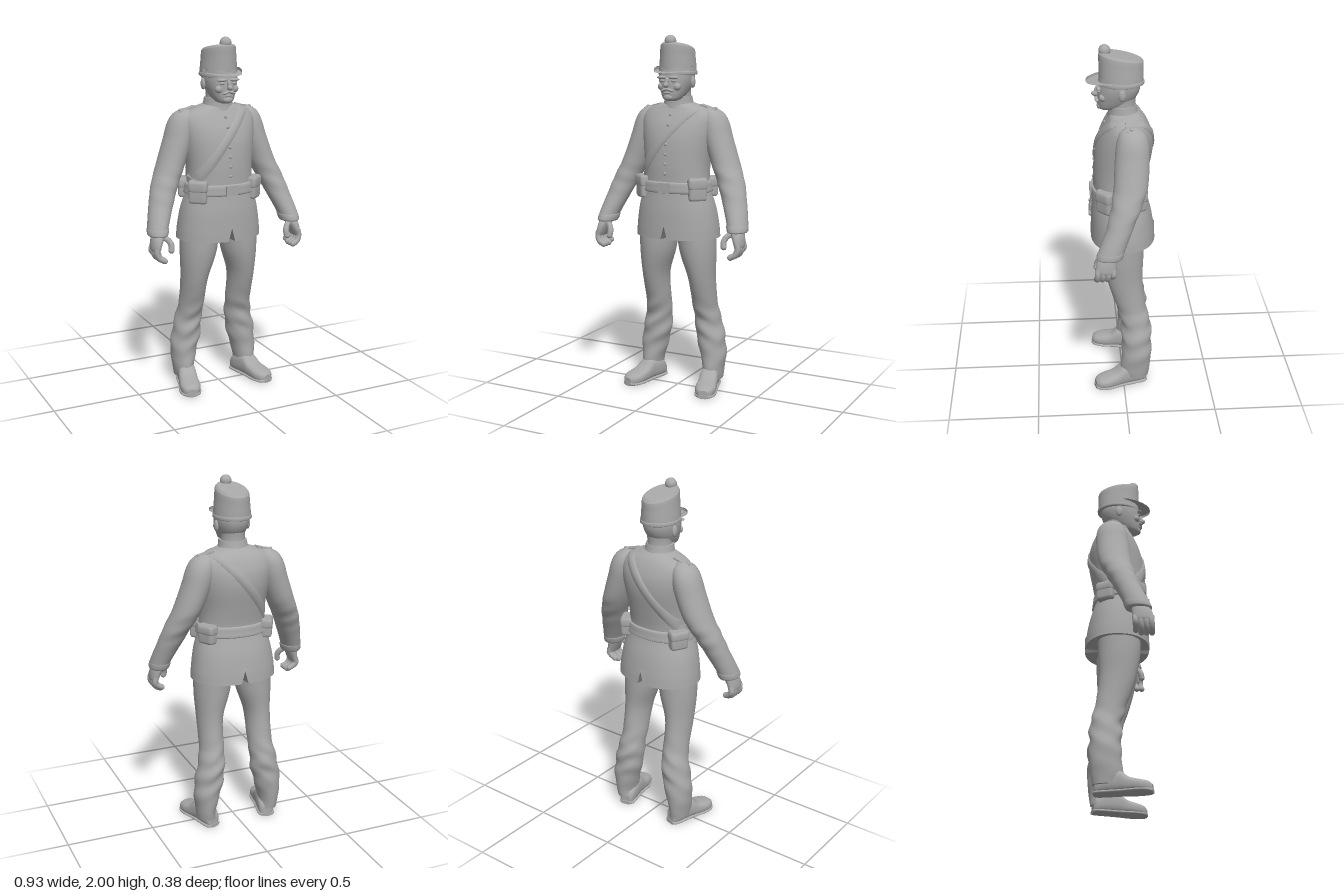
import * as THREE from 'three';

const grey = new THREE.MeshStandardMaterial({ color: 0xa8a8a8 });
grey.name = 'castGrey';

// Smooth interpolation of rings [y, cx, cz, rx, rz] at height y
function ringAt(rings, y) {
  let i = 0;
  while (i < rings.length - 2 && y > rings[i + 1][0]) i++;
  const a = rings[i], b = rings[i + 1], p = rings[i - 1] || a, q = rings[i + 2] || b;
  const h = b[0] - a[0], t = Math.min(1, Math.max(0, (y - a[0]) / h)), t2 = t * t, t3 = t2 * t;
  return [1, 2, 3, 4].map((k) => {
    const ma = (b[k] - p[k]) / (b[0] - p[0]) * h, mb = (q[k] - a[k]) / (q[0] - a[0]) * h;
    return (2 * t3 - 3 * t2 + 1) * a[k] + (t3 - 2 * t2 + t) * ma + (3 * t2 - 2 * t3) * b[k] + (t3 - t2) * mb;
  });
}

// Closed skin through the rings; pow 2 is an ellipse, higher is boxier
function loft(rings, { seg = 36, sub = 6, pow = 2, rule } = {}) {
  const pos = [], idx = [], ys = [];
  for (let i = 0; i < rings.length - 1; i++)
    for (let k = 0; k < sub; k++) ys.push(rings[i][0] + (rings[i + 1][0] - rings[i][0]) * k / sub);
  ys.push(rings[rings.length - 1][0]);
  const v = new THREE.Vector3();
  const addRing = (y) => {
    const [cx, cz, rx, rz] = ringAt(rings, y);
    for (let j = 0; j < seg; j++) {
      const a = j / seg * Math.PI * 2, c = Math.cos(a), s = Math.sin(a);
      v.set(cx + rx * Math.sign(c) * Math.abs(c) ** (2 / pow), y, cz + rz * Math.sign(s) * Math.abs(s) ** (2 / pow));
      if (rule) rule(v, a);
      pos.push(v.x, v.y, v.z);
    }
    return [cx, cz];
  };
  ys.forEach(addRing);
  for (let i = 0; i < ys.length - 1; i++)
    for (let j = 0; j < seg; j++) {
      const a = i * seg + j, b = i * seg + (j + 1) % seg;
      idx.push(a, a + seg, b, b, a + seg, b + seg);
    }
  for (const [y, top] of [[ys[0], false], [ys[ys.length - 1], true]]) {
    const base = pos.length / 3, [cx, cz] = addRing(y);
    v.set(cx, y, cz);
    if (rule) rule(v, 0);
    pos.push(v.x, v.y, v.z);
    for (let j = 0; j < seg; j++) {
      const a = base + j, b = base + (j + 1) % seg;
      if (top) idx.push(base + seg, b, a); else idx.push(base + seg, a, b);
    }
  }
  const g = new THREE.BufferGeometry();
  g.setAttribute('position', new THREE.Float32BufferAttribute(pos, 3));
  g.setIndex(idx);
  g.computeVertexNormals();
  return g;
}

// Ring from a half width plus front and back depth
const fb = (y, rx, f, b) => [y, 0, (f + b) / 2, rx, (f - b) / 2];

const TORSO = [fb(0.885, 0.243, 0.175, -0.186), fb(0.95, 0.238, 0.174, -0.18), fb(1.05, 0.222, 0.17, -0.163),
  fb(1.15, 0.195, 0.16, -0.135), fb(1.2, 0.188, 0.158, -0.13), fb(1.3, 0.188, 0.157, -0.146),
  fb(1.42, 0.204, 0.146, -0.168), fb(1.5, 0.215, 0.125, -0.166), fb(1.56, 0.213, 0.097, -0.146),
  fb(1.6, 0.175, 0.076, -0.122), fb(1.622, 0.11, 0.066, -0.1), fb(1.635, 0.07, 0.05, -0.08)];
const TP = 2.2;

// Depth of the jacket surface at x, y on the front (+1) or back (-1)
function jacketZ(x, y, side) {
  const [, cz, rx, rz] = ringAt(TORSO, Math.min(y, 1.63));
  return cz + side * rz * Math.max(0, 1 - Math.min(1, Math.abs(x) / rx) ** TP) ** (1 / TP);
}

export function createModel() {
  const root = new THREE.Group();
  root.name = 'soldierFigure';
  const add = (name, geo, p = [0, 0, 0], parent = root) => {
    const m = new THREE.Mesh(geo, grey);
    m.name = name;
    m.position.set(...p);
    parent.add(m);
    return m;
  };
  const blob = (name, p, s) => {
    const m = add(name, new THREE.SphereGeometry(1, 20, 14), p);
    m.scale.set(...s);
    return m;
  };

  // Jacket, with notches in the hem at front and back
  add('jacket', loft(TORSO, { seg: 96, pow: TP, rule: (v) => {
    if (v.y < 0.97) v.y += 0.075 * Math.exp(-((v.x / 0.009) ** 2)) * (0.97 - v.y) / 0.085 * (Math.abs(v.z) > 0.1 ? 1 : 0);
  } }));
  add('collar', loft([[1.6, 0, -0.012, 0.092, 0.088], [1.63, 0, -0.008, 0.083, 0.08], [1.668, 0, -0.004, 0.077, 0.074]], { sub: 4 }));

  // Belt follows the waist
  const belt = [1.142, 1.148, 1.17, 1.198, 1.204].map((y, i) => {
    const r = ringAt(TORSO, y), o = i % 4 ? 0.012 : 0.003;
    return [y, r[0], r[1], r[2] + o, r[3] + o];
  });
  add('belt', loft(belt, { seg: 72, sub: 2, pow: TP }));
  add('buckle', new THREE.BoxGeometry(0.07, 0.055, 0.016), [0, 1.173, 0.171]);
  for (let i = 0; i < 7; i++) {
    const y = 1.25 + i * 0.053;
    blob('button', [0, y, jacketZ(0, y, 1)], [0.009, 0.009, 0.007]);
  }

  // Shoulder strap crosses from the left shoulder to the right hip on both sides
  for (const side of [1, -1]) {
    const pos = [], idx = [], n = 40, w = [-0.025, -0.023, 0, 0.023, 0.025];
    for (let i = 0; i <= n; i++) {
      const t = i / n, cx = 0.135 - 0.312 * t, cy = 1.612 - 0.385 * t + 0.02 * Math.sin(t * Math.PI);
      w.forEach((o, k) => {
        const x = cx - o * 0.77, y = cy + o * 0.64;
        pos.push(x, y, jacketZ(x, y, side) + side * (k % 4 ? 0.008 : -0.006));
      });
    }
    for (let i = 0; i < n; i++)
      for (let k = 0; k < 4; k++) {
        const a = i * 5 + k, b = a + 5;
        if (side > 0) idx.push(a, a + 1, b, b, a + 1, b + 1); else idx.push(a, b, a + 1, b, b + 1, a + 1);
      }
    const g = new THREE.BufferGeometry();
    g.setAttribute('position', new THREE.Float32BufferAttribute(pos, 3));
    // Keep the faces pointing away from the body
    g.setIndex(side > 0 ? idx.reverse() : idx.reverse());
    g.computeVertexNormals();
    if (g.attributes.normal.getZ(2 + 5 * 20) * side < 0) {
      g.setIndex(idx.slice().reverse());
      g.computeVertexNormals();
    }
    add(side > 0 ? 'strapFront' : 'strapBack', g);
  }

  // Rounded pouch with a flap, facing outward
  const pouch = (x, z, yaw, w, h) => {
    const grp = new THREE.Group();
    grp.name = 'pouch';
    const slab = (dw, h0, h1, d) => loft([[h0, 0, 0, dw * 0.9, d * 0.8], [h0 + 0.012, 0, 0, dw, d],
      [h1 - 0.012, 0, 0, dw, d], [h1, 0, 0, dw * 0.9, d * 0.8]], { pow: 5, sub: 3, seg: 40 });
    add('pouchBody', slab(w / 2, -h / 2, h / 2, 0.03), [0, 0, 0], grp);
    add('pouchFlap', slab(w / 2 + 0.004, 0, h / 2 + 0.004, 0.034), [0, 0, 0], grp);
    grp.position.set(x, 1.165, z);
    grp.rotation.y = yaw;
    root.add(grp);
  };

  for (const s of [1, -1]) {
    const side = s > 0 ? 'left' : 'right';
    const flip = (rings) => rings.map(([y, cx, ...r]) => [y, cx * s, ...r]);
    pouch(s * 0.168, 0.098, s * 0.72, 0.1, 0.12);
    pouch(s * 0.178, -0.075, s * 2.05, 0.1, 0.1);

    // Sleeve with soft folds at the elbow
    add(side + 'Sleeve', loft(flip([[0.955, 0.407, 0.09, 0.048, 0.064], [0.965, 0.408, 0.087, 0.053, 0.07],
      [1.0, 0.4, 0.075, 0.057, 0.07], [1.1, 0.365, 0.034, 0.067, 0.071], [1.2, 0.327, -0.002, 0.075, 0.08],
      [1.3, 0.281, -0.03, 0.078, 0.091], [1.45, 0.226, -0.042, 0.08, 0.092], [1.53, 0.206, -0.045, 0.075, 0.085],
      [1.58, 0.192, -0.043, 0.058, 0.064], [1.607, 0.178, -0.04, 0.026, 0.028]]),
    { rule: (v) => { v.z += 0.003 * Math.sin(v.y * 70 + v.x * 25) * Math.exp(-(((v.y - 1.2) / 0.09) ** 2)); } }));
    add(side + 'Cuff', loft(flip([[0.95, 0.408, 0.09, 0.051, 0.067], [0.957, 0.408, 0.089, 0.056, 0.072],
      [0.985, 0.403, 0.08, 0.058, 0.072], [0.99, 0.402, 0.078, 0.054, 0.068]]), { sub: 3 }));

    // Shoulder tab and its button
    const tab = add(side + 'ShoulderTab', new THREE.BoxGeometry(0.1, 0.012, 0.045), [s * 0.175, 1.604, -0.035]);
    tab.rotation.z = -s * 0.28;
    blob(side + 'TabButton', [s * 0.212, 1.602, -0.038], [0.01, 0.008, 0.01]);

    // Hand with curled fingers
    add(side + 'Palm', loft(flip([[0.865, 0.434, 0.112, 0.016, 0.048], [0.885, 0.432, 0.112, 0.024, 0.054],
      [0.93, 0.42, 0.106, 0.032, 0.054], [0.975, 0.406, 0.093, 0.034, 0.044]])));
    const digit = (name, pts, r) => {
      const c = new THREE.CatmullRomCurve3(pts.map(([x, y, z]) => new THREE.Vector3(x * s, y, z)));
      add(name, new THREE.TubeGeometry(c, 14, r, 10));
      blob(name + 'Tip', c.getPoint(1).toArray(), [r, r, r]);
    };
    for (let i = 0; i < 4; i++) {
      const z = 0.07 + i * 0.028, d = i === 0 ? 0.014 : 0;
      digit(side + 'Finger', [[0.43, 0.9, z], [0.438, 0.865, z], [0.425, 0.835 + d, z + 0.003], [0.398, 0.82 + d, z + 0.005]], 0.0165);
    }
    digit(side + 'Thumb', [[0.4, 0.95, 0.115], [0.367, 0.927, 0.14], [0.355, 0.9, 0.153], [0.358, 0.874, 0.158]], 0.0165);

    // Trouser leg with folds around knee and shin
    add(side + 'TrouserLeg', loft(flip([[0.05, 0.193, -0.07, 0.053, 0.072], [0.1, 0.197, -0.066, 0.056, 0.084],
      [0.2, 0.19, -0.075, 0.074, 0.085], [0.3, 0.173, -0.074, 0.082, 0.085], [0.4, 0.159, -0.071, 0.075, 0.084],
      [0.48, 0.15, -0.05, 0.07, 0.083], [0.65, 0.146, -0.012, 0.074, 0.098], [0.8, 0.127, 0, 0.101, 0.115],
      [0.95, 0.115, 0, 0.112, 0.12]]), { sub: 8, rule: (v, a) => {
      v.z += 0.006 * Math.sin(v.y * 60 + v.x * s * 35) * Math.exp(-(((v.y - 0.36) / 0.13) ** 2)) * Math.sin(a);
      v.x += 0.004 * Math.sin(v.y * 50 + v.z * 20) * Math.exp(-(((v.y - 0.3) / 0.15) ** 2));
    } }));

    // Shoe lofted heel to toe, then laid flat and turned outward
    const shoe = new THREE.Group();
    shoe.name = side + 'Shoe';
    const along = (st, dw) => loft(st.map(([z, w, h]) => [z, 0, -h / 2, w + dw, h / 2]), { pow: 2.6 }).rotateX(Math.PI / 2);
    // The laying-flat turn sends length to z and height to y
    add('shoeUpper', along([[-0.132, 0.025, 0.06], [-0.12, 0.04, 0.085], [-0.07, 0.05, 0.12], [0, 0.052, 0.125],
      [0.05, 0.055, 0.088], [0.11, 0.058, 0.07], [0.15, 0.046, 0.06], [0.17, 0.026, 0.045]], 0), [0, 0.002, 0], shoe);
    add('shoeSole', along([[-0.136, 0.026, 0.022], [-0.12, 0.042, 0.022], [-0.05, 0.047, 0.022], [0.01, 0.048, 0.022],
      [0.1, 0.058, 0.022], [0.15, 0.047, 0.022], [0.173, 0.024, 0.022]], 0.004), [0, 0, 0], shoe);
    shoe.position.set(s * 0.2, 0, 0);
    shoe.rotation.y = s * 0.25;
    root.add(shoe);

    // Paired features of the face
    blob(side + 'Ear', [s * 0.092, 1.745, 0.002], [0.012, 0.032, 0.02]);
    blob(side + 'Brow', [s * 0.036, 1.772, 0.124], [0.03, 0.009, 0.014]);
    blob(side + 'Eye', [s * 0.034, 1.754, 0.121], [0.014, 0.008, 0.01]);
    blob(side + 'Cheek', [s * 0.045, 1.722, 0.104], [0.024, 0.022, 0.02]);
    blob(side + 'Moustache', [s * 0.018, 1.705, 0.133], [0.022, 0.008, 0.012]).rotation.z = -s * 0.3;
  }

  // Neck and head
  add('neck', loft([fb(1.6, 0.07, 0.055, -0.08), fb(1.68, 0.066, 0.06, -0.075), fb(1.74, 0.07, 0.06, -0.08)]));
  add('head', loft([fb(1.643, 0.022, 0.108, 0.05), fb(1.652, 0.044, 0.122, 0.01), fb(1.672, 0.06, 0.128, -0.03),
    fb(1.705, 0.075, 0.13, -0.07), fb(1.735, 0.085, 0.13, -0.09), fb(1.77, 0.091, 0.127, -0.1), fb(1.83, 0.09, 0.12, -0.1)], { pow: 2.2 }));
  blob('nose', [0, 1.732, 0.143], [0.014, 0.015, 0.019]);
  blob('noseBridge', [0, 1.75, 0.133], [0.01, 0.026, 0.014]).rotation.x = -0.25;
  blob('lowerLip', [0, 1.689, 0.13], [0.02, 0.006, 0.009]);
  blob('chin', [0, 1.664, 0.118], [0.028, 0.018, 0.016]);

  // Tall cap, its crown higher at the front
  const lean = (v) => { v.y += 0.2 * v.z * Math.max(0, (v.y - 1.79) / 0.15); };
  add('cap', loft([fb(1.785, 0.1, 0.122, -0.117), fb(1.82, 0.098, 0.122, -0.118), fb(1.88, 0.092, 0.122, -0.117),
    fb(1.928, 0.087, 0.122, -0.116), fb(1.938, 0.081, 0.116, -0.11)], { seg: 48, rule: lean }));
  add('capBand', loft([fb(1.784, 0.099, 0.121, -0.117), fb(1.787, 0.103, 0.125, -0.121), fb(1.803, 0.102, 0.125, -0.121),
    fb(1.806, 0.098, 0.121, -0.117)], { seg: 48, sub: 2 }));
  add('capCrown', loft([fb(1.936, 0.078, 0.112, -0.106), fb(1.942, 0.074, 0.107, -0.102)], { seg: 48, sub: 2, rule: lean }));
  blob('pompom', [0, 1.968, 0.09], [0.032, 0.032, 0.032]);

  // Peak curving down toward the front
  const peak = new THREE.Shape();
  peak.absellipse(0, -0.03, 0.1, 0.157, Math.PI, 0, false);
  const peakGeo = new THREE.ExtrudeGeometry(peak, { depth: 0.012, bevelEnabled: true, bevelSize: 0.003, bevelThickness: 0.003, bevelSegments: 2, curveSegments: 32 });
  peakGeo.rotateX(Math.PI / 2);
  peakGeo.rotateY(0);
  const pp = peakGeo.attributes.position;
  for (let i = 0; i < pp.count; i++) {
    // Mirror-free turn: bring the curved edge to the front
    const x = pp.getX(i), z = pp.getZ(i), zf = z < 0 ? -z : z;
    pp.setXYZ(i, x, pp.getY(i) + 1.832 - 0.16 * Math.max(0, zf - 0.06) - 0.6 * x * x, zf);
  }
  peakGeo.computeVertexNormals();
  add('capPeak', peakGeo);
  return root;
}
